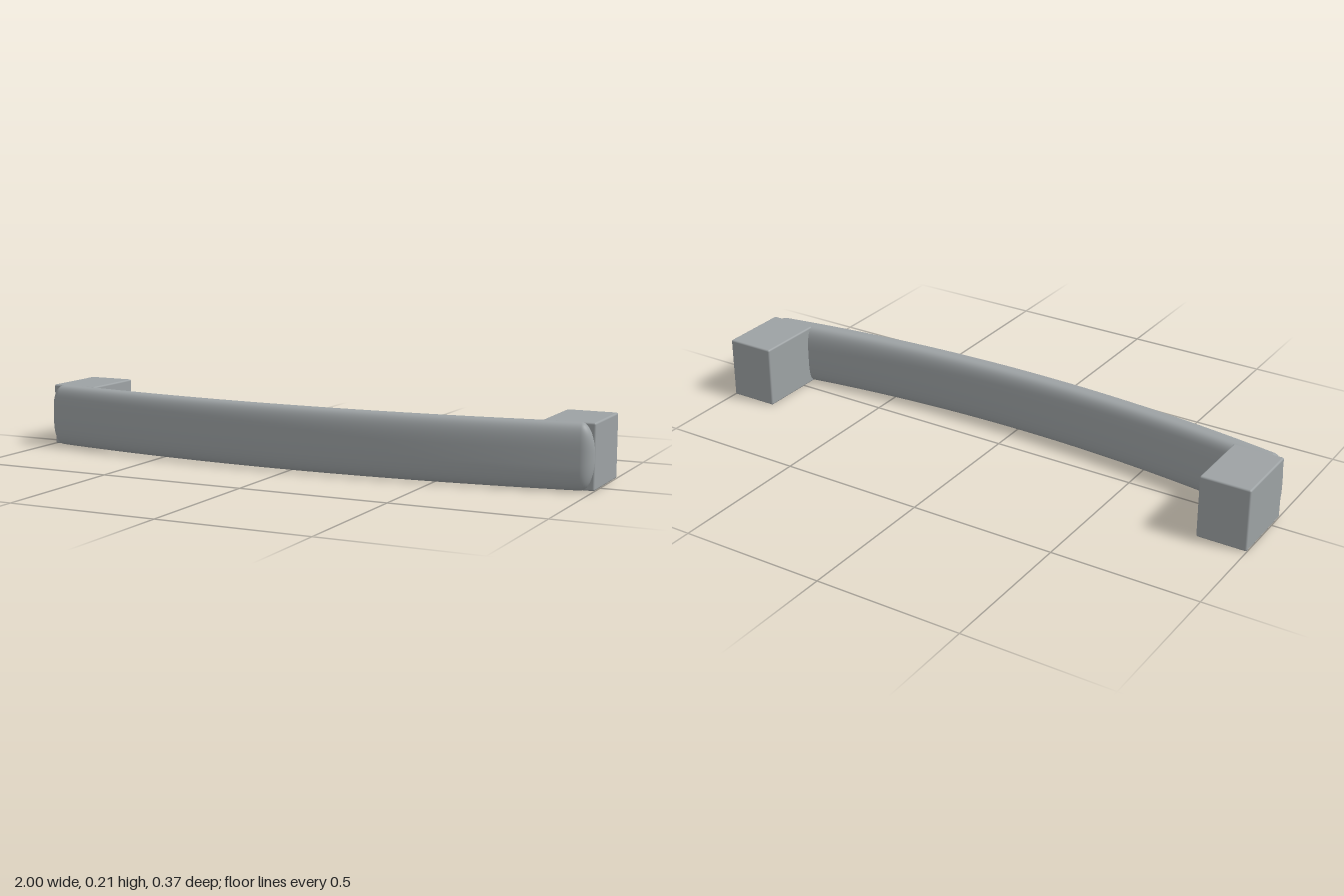
import * as THREE from 'three';
import { RoundedBoxGeometry } from 'three/addons/geometries/RoundedBoxGeometry.js';

const HEIGHT = 0.213;
const material = new THREE.MeshStandardMaterial({ color: 0x9da2a4 });

// Bowed bar: a soft rounded-rectangle section swept along a shallow curve, with domed ends
function barGeometry() {
  const SIDES = 64, SPAN = 48, CAP = 14;
  const END = 0.955, CAP_LENGTH = 0.044, HALF_DEPTH = 0.045, BOW = 0.094;

  // Stations along the bar: u on the curve, push along the tangent, scale of the section
  const stations = [];
  const cap = (side, i) => {
    const a = (i / CAP) * Math.PI / 2;
    stations.push({ u: side * END, push: side * CAP_LENGTH * Math.sin(a), scale: i === CAP ? 0 : Math.cos(a) });
  };
  for (let i = CAP; i > 0; i--) cap(-1, i);
  for (let i = 0; i <= SPAN; i++) stations.push({ u: END * (2 * i / SPAN - 1), push: 0, scale: 1 });
  for (let i = 1; i <= CAP; i++) cap(1, i);

  const soft = (v) => Math.sign(v) * Math.abs(v) ** (2 / 3.2);
  const positions = [], index = [];
  stations.forEach(({ u, push, scale }, i) => {
    const tangent = new THREE.Vector2(1, -2 * BOW * u).normalize();
    for (let j = 0; j < SIDES; j++) {
      const a = (j / SIDES) * Math.PI * 2;
      const out = soft(Math.cos(a)) * HALF_DEPTH * scale;
      positions.push(
        u + push * tangent.x - out * tangent.y,
        HEIGHT / 2 * (1 + soft(Math.sin(a)) * scale),
        0.14 - BOW * u * u + push * tangent.y + out * tangent.x
      );
      if (i === stations.length - 1) continue;
      const k = (j + 1) % SIDES;
      const p = i * SIDES, q = p + SIDES;
      index.push(p + j, q + j, q + k, p + j, q + k, p + k);
    }
  });
  const geometry = new THREE.BufferGeometry();
  geometry.setAttribute('position', new THREE.Float32BufferAttribute(positions, 3));
  geometry.setIndex(index);
  geometry.computeVertexNormals();
  return geometry;
}

export function createModel() {
  const model = new THREE.Group();
  model.name = 'pullHandle';

  const bar = new THREE.Mesh(barGeometry(), material);
  bar.name = 'gripBar';
  model.add(bar);

  // Square mounting posts behind each end of the bar
  const postGeometry = new RoundedBoxGeometry(0.17, HEIGHT, 0.245, 3, 0.006);
  for (const [name, side] of [['leftPost', 1], ['rightPost', -1]]) {
    const post = new THREE.Mesh(postGeometry, material);
    post.name = name;
    post.position.set(side * 0.915, HEIGHT / 2, -0.0625);
    model.add(post);
  }
  return model;
}
